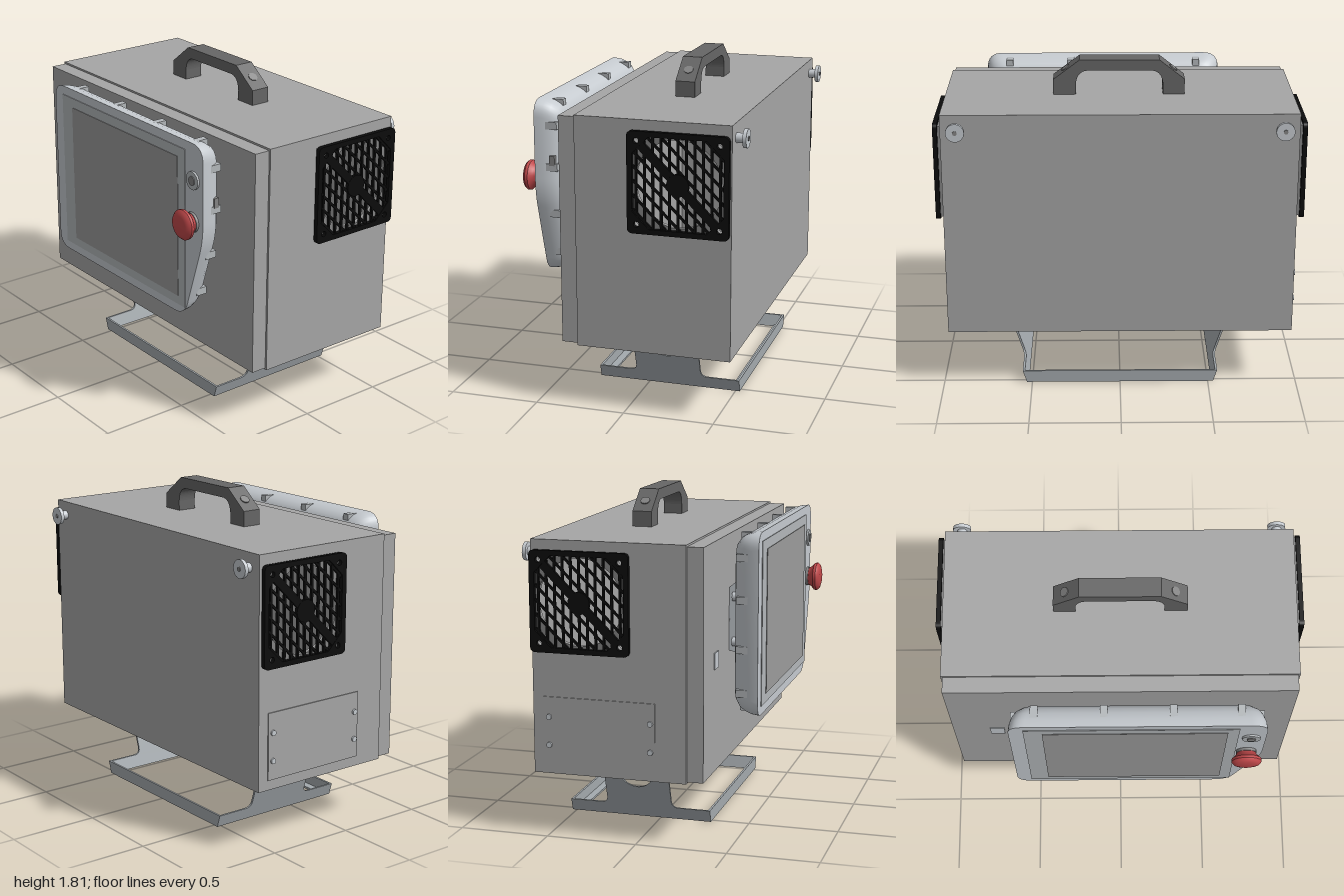
import * as THREE from 'three';
import { toCreasedNormals } from 'three/addons/utils/BufferGeometryUtils.js';

const mat = (name, color) => {
  const m = new THREE.MeshStandardMaterial({ color, side: THREE.DoubleSide });
  m.name = name;
  return m;
};

export function createModel() {
  const root = new THREE.Group();
  const grey = mat('cabinet grey', 0xa6a6a6);
  const silver = mat('tablet silver', 0xc6cbd0);
  const steel = mat('stand steel', 0xa4aaae);
  const bezelGrey = mat('bezel grey', 0xb4b8bb);
  const screenGrey = mat('screen grey', 0x9c9c9c);
  const dark = mat('handle dark grey', 0x666666);
  const mid = mat('mount grey', 0x858585);
  const black = mat('grille black', 0x0c0c0c);
  const red = mat('button red', 0xc0484a);

  const add = (name, geo, m, parent = root) => {
    const mesh = new THREE.Mesh(geo, m);
    mesh.name = name;
    parent.add(mesh);
    return mesh;
  };
  // box given by its limits on each axis
  const box = (name, m, x0, x1, y0, y1, z0, z1, parent = root) => {
    const mesh = add(name, new THREE.BoxGeometry(x1 - x0, y1 - y0, z1 - z0), m, parent);
    mesh.position.set((x0 + x1) / 2, (y0 + y1) / 2, (z0 + z1) / 2);
    return mesh;
  };
  // cylinder centred at (x, y, z) along one axis
  const disc = (name, m, axis, r, len, x, y, z, parent = root) => {
    const geo = new THREE.CylinderGeometry(r, r, len, 24);
    if (axis === 'x') geo.rotateZ(Math.PI / 2);
    if (axis === 'z') geo.rotateX(Math.PI / 2);
    const mesh = add(name, geo, m, parent);
    mesh.position.set(x, y, z);
    return mesh;
  };
  const poly = pts => new THREE.Shape(pts.map(p => new THREE.Vector2(...p)));
  const circle = (x, y, r) => new THREE.Path().absarc(x, y, r, 0, Math.PI * 2, true);
  const extrude = (shape, depth) =>
    new THREE.ExtrudeGeometry(shape, { depth, bevelEnabled: false, curveSegments: 16 });
  // polygon with rounded corners
  const rounded = (pts, r) => {
    const s = new THREE.Shape();
    const v = pts.map(p => new THREE.Vector2(...p));
    v.forEach((p, i) => {
      const toward = q => p.clone().add(q.clone().sub(p).setLength(r));
      const a = toward(v[(i + v.length - 1) % v.length]), b = toward(v[(i + 1) % v.length]);
      if (i) s.lineTo(a.x, a.y); else s.moveTo(a.x, a.y);
      s.quadraticCurveTo(p.x, p.y, b.x, b.y);
    });
    s.closePath();
    return s;
  };
  const square = h => [[-h, -h], [h, -h], [h, h], [-h, h]];

  // Hollow cabinet: walls, and end panels with fan openings
  const FX = 0.303, FY = 1.29, S = 0.223;
  const corners = [[-S, -S], [S, -S], [S, S], [-S, S]];
  box('rightWall', grey, -0.27, -0.255, 0.345, 1.615, -0.96, 0.96);
  box('leftWall', grey, 0.565, 0.58, 0.345, 1.615, -0.96, 0.96);
  box('cabinetTop', grey, -0.255, 0.565, 1.6, 1.615, -0.96, 0.96);
  box('cabinetBottom', grey, -0.255, 0.565, 0.345, 0.36, -0.96, 0.96);
  const end = poly([[-0.255, 0.36], [0.565, 0.36], [0.565, 1.6], [-0.255, 1.6]]);
  end.holes.push(circle(FX, FY, 0.235), ...corners.map(c => circle(FX + c[0], FY + c[1], 0.015)));
  for (const z of [0.945, -0.96]) add('endPanel', extrude(end, 0.015), grey).position.z = z;
  box('door', grey, -0.36, -0.271, 0.355, 1.605, -0.95, 0.95);
  box('doorLatch', silver, -0.366, -0.36, 0.92, 1.01, -0.74, -0.66);

  // Fan guards at both ends
  for (const side of [1, -1]) {
    const fan = new THREE.Group();
    fan.name = side > 0 ? 'frontFan' : 'backFan';
    fan.position.set(FX, FY, 0.96 * side);
    if (side < 0) fan.rotation.y = Math.PI;
    root.add(fan);

    const gasket = poly(square(0.258));
    gasket.holes.push(circle(0, 0, 0.235), ...corners.map(c => circle(c[0], c[1], 0.015)));
    add('fanGasket', extrude(gasket, 0.015), mid, fan);

    const frame = rounded(square(0.273), 0.03);
    const i = 0.245, c = 0.155;
    frame.holes.push(new THREE.Path([[-i, -c], [-i, c], [-c, i], [c, i], [i, c], [i, -c], [c, -i], [-c, -i]]
      .map(p => new THREE.Vector2(...p))));
    frame.holes.push(...corners.map(q => circle(q[0], q[1], 0.015)));
    add('fanFrame', extrude(frame, 0.025), black, fan).position.z = 0.015;

    // upright and slanted bars, trimmed to the frame opening
    for (let k = -5; k <= 5; k++) {
      const x = k * 0.045, h = Math.min(i, i + c - Math.abs(x));
      box('uprightBar', black, x - 0.006, x + 0.006, -h, h, 0.02, 0.034, fan);
      const d = k * 0.055, l = Math.min((i + c) / Math.SQRT2, i * Math.SQRT2 - Math.abs(d));
      if (l < 0.03) continue;
      const bar = add('slantedBar', new THREE.BoxGeometry(0.012, 2 * l, 0.012), black, fan);
      bar.position.set(d / Math.SQRT2, d / Math.SQRT2, 0.027);
      bar.rotation.z = Math.PI / 4;
    }
    const arm = add('fanArm', new THREE.BoxGeometry(0.045, 0.57, 0.018), black, fan);
    arm.position.z = 0.029;
    arm.rotation.z = Math.PI / 4;
    disc('fanHub', black, 'z', 0.06, 0.02, 0, 0, 0.029, fan);
  }

  // Carry handle, profile in (-z, y) swept along x
  const grip = poly([[-0.365, 1.615], [-0.365, 1.70], [-0.22, 1.81], [0.22, 1.81], [0.36, 1.70], [0.36, 1.615]]);
  grip.lineTo(0.24, 1.615);
  grip.lineTo(0.24, 1.67);
  grip.quadraticCurveTo(0.235, 1.75, 0.17, 1.75);
  grip.lineTo(-0.17, 1.75);
  grip.quadraticCurveTo(-0.235, 1.75, -0.24, 1.67);
  grip.lineTo(-0.24, 1.615);
  add('handle', extrude(grip, 0.11).rotateY(Math.PI / 2), dark).position.x = 0.1;
  for (const s of [1, -1]) {
    const bolt = disc('handleBolt', mid, 'y', 0.026, 0.01, 0.155, 1.751, s * 0.297);
    bolt.rotation.x = s * 0.65;
  }

  // Knobs on the left wall
  for (const z of [0.875, -0.875]) {
    disc('knobShaft', silver, 'x', 0.026, 0.05, 0.6, 1.535, z);
    disc('knobHead', silver, 'x', 0.05, 0.02, 0.632, 1.535, z);
    disc('knobBolt', mid, 'x', 0.012, 0.006, 0.643, 1.535, z);
  }

  // Back cover plate and its screws
  box('backCover', grey, -0.1, 0.52, 0.4, 0.77, -0.966, -0.96);
  for (const x of [-0.075, 0.49]) for (const y of [0.505, 0.66])
    disc('coverScrew', silver, 'z', 0.015, 0.016, x, y, -0.968);

  // Underside fittings
  box('bottomCover', grey, -0.2, 0.39, 0.338, 0.345, -0.3, 0.3);
  disc('connectorRing', dark, 'y', 0.075, 0.025, 0.035, 0.333, 0.45);
  disc('connectorCore', mid, 'y', 0.045, 0.008, 0.035, 0.32, 0.45);
  for (const [x, z] of [[0.23, -0.5], [0, -0.5], [0.23, 0.5]])
    disc('bottomCap', bezelGrey, 'y', 0.06, 0.006, x, 0.342, z);
  for (const z of [-0.285, 0.29, -0.74, 0.91])
    disc('bottomScrew', silver, 'y', 0.014, 0.014, 0.49, 0.338, z);

  // Sheet metal stand: two leaning legs joined by rails
  const leg = new THREE.Shape();
  leg.moveTo(-0.29, 0);
  leg.lineTo(0.525, 0);
  leg.lineTo(0.525, 0.07);
  leg.lineTo(0.345, 0.07);
  leg.quadraticCurveTo(0.305, 0.07, 0.305, 0.11);
  leg.lineTo(0.305, 0.335);
  leg.lineTo(-0.07, 0.335);
  leg.lineTo(-0.07, 0.11);
  leg.quadraticCurveTo(-0.07, 0.07, -0.11, 0.07);
  leg.lineTo(-0.29, 0.07);
  leg.holes.push(new THREE.Path().absarc(0.118, 0.285, 0.098, Math.PI, Math.PI * 2, false).closePath());
  for (const s of [1, -1]) {
    const geo = extrude(leg, 0.012);
    const p = geo.attributes.position;
    for (let i = 0; i < p.count; i++) p.setZ(i, p.getZ(i) - 0.006 + s * (0.525 + 0.32 * p.getY(i)));
    geo.computeVertexNormals();
    add(s > 0 ? 'frontLeg' : 'backLeg', geo, steel);
    const z = [s * 0.63, s * 0.8].sort((a, b) => a - b);
    box('legFlange', steel, -0.07, 0.305, 0.334, 0.345, ...z);
  }
  // rails widen upward to meet the leaning legs
  const rail = poly([[-0.52, 0], [0.52, 0], [0.545, 0.07], [-0.545, 0.07]]);
  for (const [x, a, b] of [[-0.29, -0.29, -0.235], [0.513, 0.47, 0.525]]) {
    add('standRail', extrude(rail, 0.012).rotateY(Math.PI / 2), steel).position.x = x;
    box('railFlange', steel, a, b, 0, 0.012, -0.52, 0.52);
  }

  // Tablet shell: rings of one outline, shrinking toward the rounded back
  const outline = rounded([[-0.6, 0.63], [0.62, 0.63], [0.78, 1.12], [0.78, 1.635], [-0.6, 1.635]], 0.09).getPoints(8);
  if (outline[0].distanceTo(outline[outline.length - 1]) < 1e-5) outline.pop();
  const cz = 0.09, cy = 1.13, n = outline.length, pos = [], idx = [];
  const rings = [[-0.565, 1], [-0.565, 0], [-0.52, 0.005], [-0.48, 0.018], [-0.45, 0.036], [-0.425, 0.065], [-0.415, 0.1], [-0.415, 1]];
  for (const [x, inset] of rings) for (const q of outline) {
    const kz = inset === 1 ? 0 : 1 - inset / 0.69, ky = inset === 1 ? 0 : 1 - inset / 0.5;
    pos.push(x, cy + (q.y - cy) * ky, cz + (q.x - cz) * kz);
  }
  for (let r = 0; r < rings.length - 1; r++) for (let i = 0; i < n; i++) {
    const a = r * n + i, b = r * n + (i + 1) % n;
    if (r > 0) idx.push(a, b, a + n);
    if (r < rings.length - 2) idx.push(b, b + n, a + n);
  }
  // winding faces outward
  for (let i = 0; i < idx.length; i += 3) [idx[i + 1], idx[i + 2]] = [idx[i + 2], idx[i + 1]];
  const shell = new THREE.BufferGeometry();
  shell.setAttribute('position', new THREE.Float32BufferAttribute(pos, 3));
  shell.setIndex(idx);
  add('tabletShell', toCreasedNormals(shell, 0.7), silver);
  box('tabletBezel', bezelGrey, -0.569, -0.565, 0.68, 1.585, -0.52, 0.63);
  box('tabletScreen', screenGrey, -0.572, -0.569, 0.73, 1.53, -0.42, 0.57);

  // Clips around the tablet edge
  for (const z of [-0.46, -0.09, 0.28, 0.64]) {
    box('topClip', bezelGrey, -0.505, -0.44, 1.59, 1.625, z - 0.02, z + 0.02);
    if (z < 0.6) box('bottomClip', bezelGrey, -0.505, -0.44, 0.64, 0.67, z - 0.02, z + 0.02);
  }
  for (const y of [0.76, 1.0, 1.27, 1.5]) {
    const edge = y < 1.12 ? 0.62 + (y - 0.63) * 0.326 : 0.78;
    box('frontClip', bezelGrey, -0.505, -0.44, y - 0.02, y + 0.02, edge - 0.045, edge - 0.01);
    box('backClip', bezelGrey, -0.505, -0.44, y - 0.02, y + 0.02, -0.59, -0.555);
  }
  box('portCover', mid, -0.485, -0.455, 1.28, 1.335, 0.74, 0.772);

  // Stop button and key switch
  const cap = [[0, 0.085], [0.05, 0.085], [0.072, 0.078], [0.083, 0.065], [0.082, 0.05], [0.06, 0.03], [0.05, 0.012], [0.05, 0]]
    .map(p => new THREE.Vector2(...p)).reverse();
  const button = add('stopButton', toCreasedNormals(new THREE.LatheGeometry(cap, 32).rotateZ(Math.PI / 2), 0.6), red);
  button.position.set(-0.565, 1.2, 0.69);
  disc('buttonCollar', mid, 'x', 0.056, 0.016, -0.572, 1.2, 0.69);
  disc('keySwitch', bezelGrey, 'x', 0.05, 0.012, -0.57, 1.435, 0.7);
  disc('keySwitchCore', mid, 'x', 0.025, 0.006, -0.577, 1.435, 0.7);

  // Tablet mount: arms and thin angled brackets on the door
  const bracket = poly([[-0.43, 1.37], [-0.36, 1.31], [-0.36, 0.96], [-0.43, 0.94]]);
  for (const z of [-0.32, 0.33]) {
    box('mountArm', mid, -0.43, -0.36, 1.11, 1.21, z - 0.1, z + 0.1);
    add('mountBracket', extrude(bracket, 0.012), silver).position.z = z + Math.sign(z) * 0.1;
  }
  for (const z of [-0.42, 0.6]) for (const y of [1.01, 1.26])
    disc('mountBolt', silver, 'x', 0.025, 0.04, -0.4, y, z);

  return root;
}
